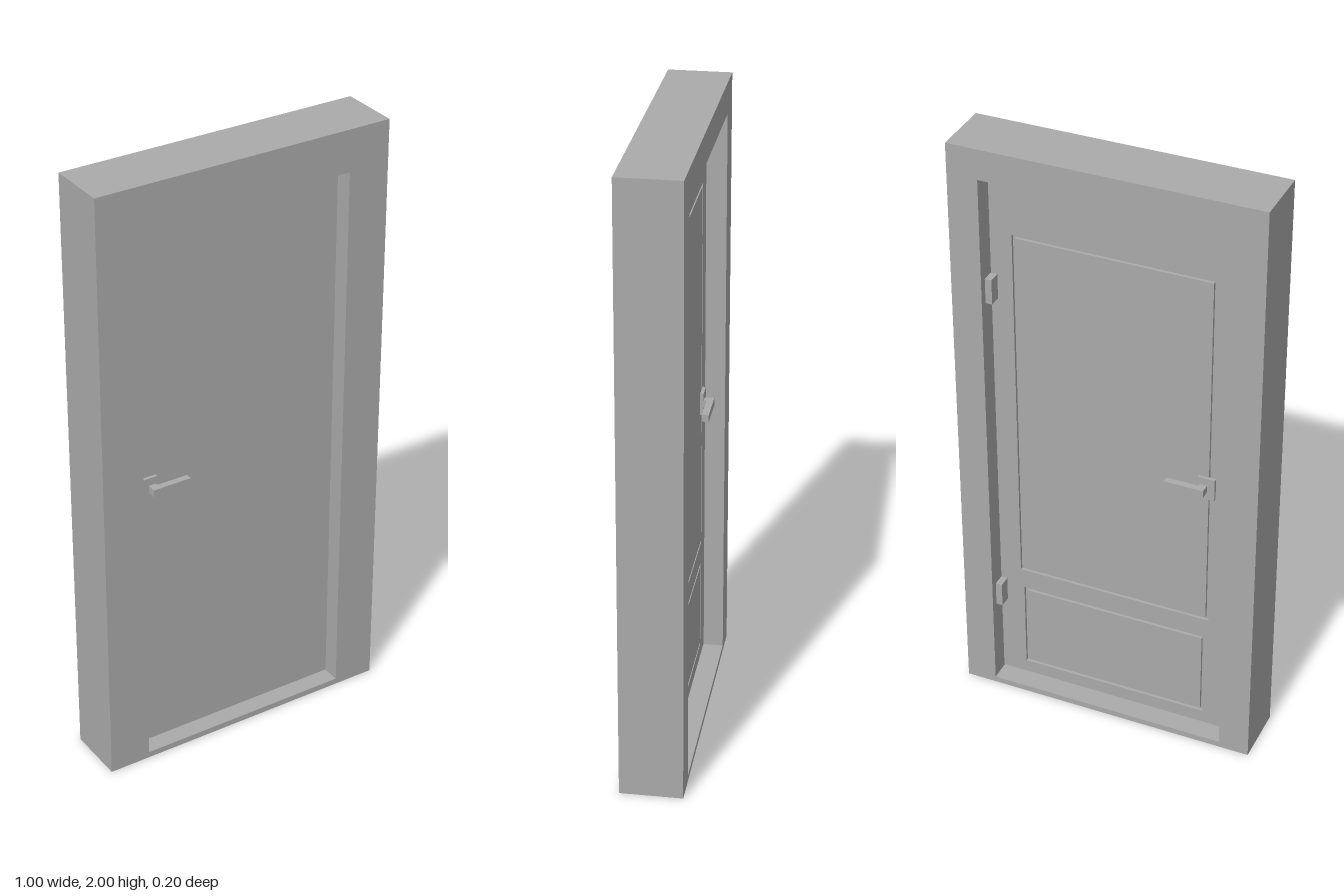
import * as THREE from 'three';

const grey = new THREE.MeshStandardMaterial({ color: 0xaaaaaa });
grey.name = 'plain grey';

function rect(path, x0, y0, x1, y1) {
  path.moveTo(x0, y0);
  path.lineTo(x1, y0);
  path.lineTo(x1, y1);
  path.lineTo(x0, y1);
  path.closePath();
  return path;
}

// Flat plate with rectangular holes, spanning z0 to z1
function plate(name, outer, holes, z0, z1) {
  const shape = rect(new THREE.Shape(), ...outer);
  for (const h of holes) shape.holes.push(rect(new THREE.Path(), ...h));
  const geo = new THREE.ExtrudeGeometry(shape, { depth: z1 - z0, bevelEnabled: false });
  geo.translate(0, 0, z0);
  const mesh = new THREE.Mesh(geo, grey);
  mesh.name = name;
  return mesh;
}

// Box given by its extents
function block(name, x0, x1, y0, y1, z0, z1) {
  const mesh = new THREE.Mesh(new THREE.BoxGeometry(x1 - x0, y1 - y0, z1 - z0), grey);
  mesh.position.set((x0 + x1) / 2, (y0 + y1) / 2, (z0 + z1) / 2);
  mesh.name = name;
  return mesh;
}

// Lever handle on one face of the leaf; dir is +1 for the front, -1 for the back
function handle(name, faceZ, dir) {
  const g = new THREE.Group();
  g.name = name;
  const part = (n, x0, x1, y0, y1, d0, d1) => {
    const a = faceZ + dir * d0, b = faceZ + dir * d1;
    g.add(block(n, x0, x1, y0, y1, Math.min(a, b), Math.max(a, b)));
  };
  part('handlePlate', -0.34, -0.285, 0.93, 1.005, 0, 0.011);
  part('handleStem', -0.315, -0.29, 0.955, 0.98, 0.011, 0.025);
  part('handleLever', -0.315, -0.185, 0.955, 0.98, 0.02, 0.042);
  return g;
}

export function createModel() {
  const model = new THREE.Group();
  model.name = 'door';
  const front = 0.04, back = -0.035, groove = 0.01;

  // Frame: narrow opening in front forms the stop, wider opening behind holds the leaf
  const outer = [-0.5, 0, 0.5, 2];
  const frame = new THREE.Group();
  frame.name = 'frame';
  frame.add(plate('frameStop', outer, [[-0.362, 0.02, 0.362, 1.863]], front, 0.1));
  frame.add(plate('frameRebate', outer, [[-0.4, 0.02, 0.4, 1.9]], -0.1, front));
  model.add(frame);

  // Door leaf: plain front, back face cut by grooves around two panels
  const leaf = new THREE.Group();
  leaf.name = 'leaf';
  leaf.add(block('leafCore', -0.399, 0.399, 0.021, 1.899, back + groove, front));
  const panels = [[-0.327, 0.45, 0.327, 1.7], [-0.316, 0.07, 0.316, 0.38]];
  leaf.add(plate('leafBackFace', [-0.399, 0.025, 0.399, 1.899], panels, back, back + groove));
  for (const [x0, y0, x1, y1] of panels) {
    leaf.add(block('backPanel', x0 + groove, x1 - groove, y0 + groove, y1 - groove, back, back + groove));
  }
  model.add(leaf);

  model.add(handle('frontHandle', front, 1));
  model.add(handle('backHandle', back, -1));

  // Hinges on the back, at the model's left
  for (const y of [0.355, 1.51]) {
    model.add(block('hinge', 0.378, 0.4, y - 0.042, y + 0.042, -0.075, back));
  }
  return model;
}
